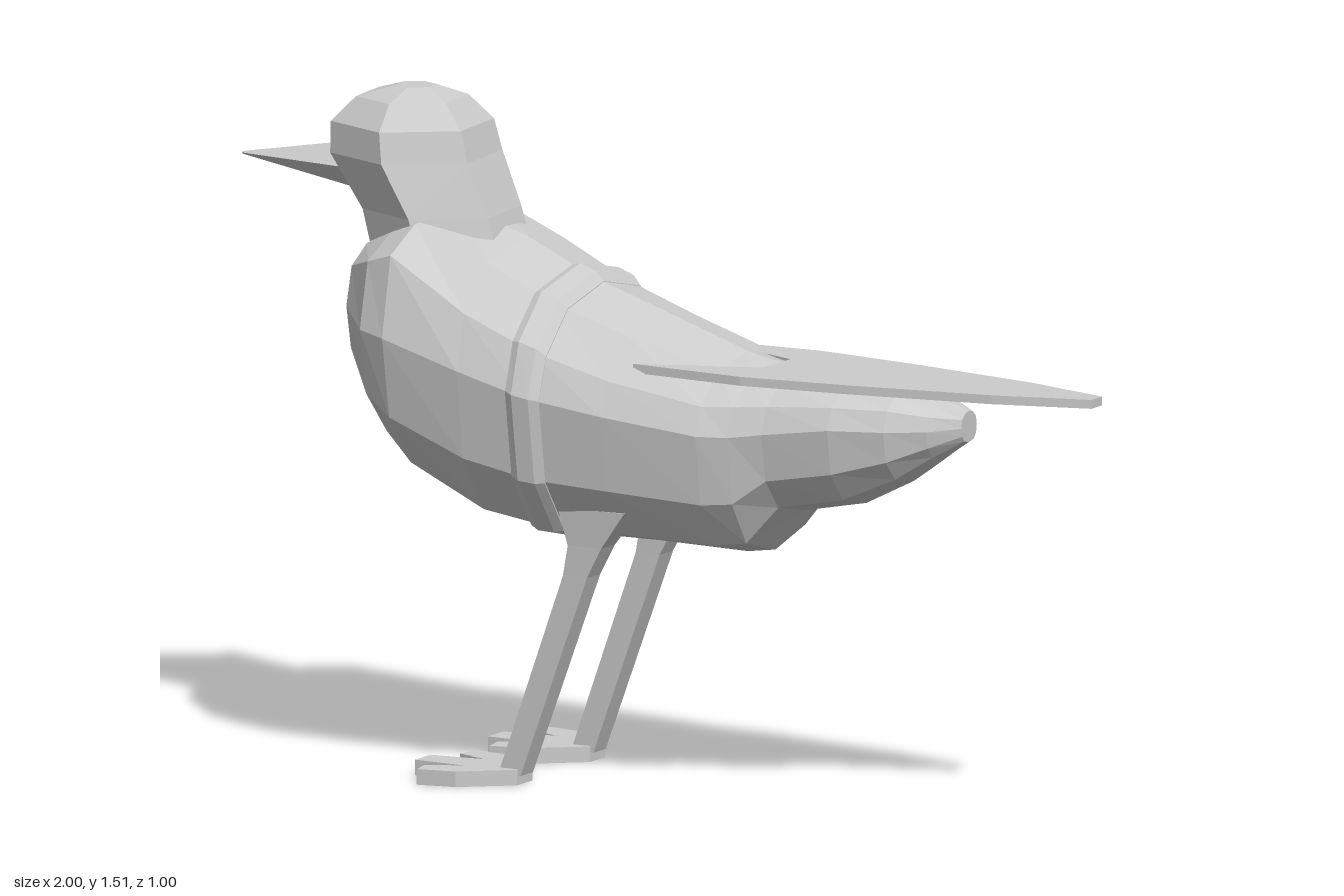
import * as THREE from 'three';

const material = new THREE.MeshStandardMaterial({ color: 0xcccccc, flatShading: true, side: THREE.DoubleSide });

function addMesh(parent, name, geometry) {
  const mesh = new THREE.Mesh(geometry, material);
  mesh.name = name;
  parent.add(mesh);
  return mesh;
}

// Skin closed rings of points into a capped, faceted solid.
function loft(rings) {
  const n = rings[0].length, pos = [];
  const tri = (...pts) => pts.forEach((p) => pos.push(p.x, p.y, p.z));
  const centre = (ring) => ring.reduce((s, p) => s.add(p), new THREE.Vector3()).divideScalar(n);
  const first = rings[0], last = rings[rings.length - 1];
  const c0 = centre(first), c1 = centre(last);
  for (let j = 0; j < n; j++) {
    const k = (j + 1) % n;
    for (let i = 0; i < rings.length - 1; i++) {
      const a = rings[i], b = rings[i + 1];
      tri(a[j], b[j], a[k]);
      tri(b[j], b[k], a[k]);
    }
    tri(c0, first[j], first[k]);
    tri(c1, last[k], last[j]);
  }
  const g = new THREE.BufferGeometry();
  g.setAttribute('position', new THREE.Float32BufferAttribute(pos, 3));
  g.computeVertexNormals();
  return g;
}

const soften = (v, p) => Math.sign(v) * Math.abs(v) ** p;

// Upright ring across the body: x, bottom, top, half width, height of widest
// point, and how the upper half curves (below 1 square, above 1 peaked).
function bodyRing([x, bottom, top, w, mid, upper], n = 12) {
  return Array.from({ length: n }, (_, j) => {
    const a = (j / n) * Math.PI * 2;
    const s = Math.sin(a), c = soften(Math.cos(a), s > 0 ? 0.85 : 0.72);
    const y = s > 0 ? mid + (top - mid) * soften(s, upper) : mid + (mid - bottom) * soften(s, 0.9);
    return new THREE.Vector3(x, y, w * c);
  });
}

// Level ring: height, centre x, half length, half width.
function levelRing([y, x, rx, rz], n, z, turn) {
  return Array.from({ length: n }, (_, j) => {
    const a = (j / n) * Math.PI * 2 + turn;
    return new THREE.Vector3(x + rx * Math.cos(a), y, z + rz * Math.sin(a));
  });
}

// Flat plate from an outline of [x, z] points.
function plate(outline, thickness) {
  const shape = new THREE.Shape(outline.map(([x, z]) => new THREE.Vector2(x, -z)));
  return new THREE.ExtrudeGeometry(shape, { depth: thickness, bevelEnabled: false }).rotateX(-Math.PI / 2);
}

const mirrored = (half) => [...half, ...half.slice().reverse().filter(([, z]) => z !== 0).map(([x, z]) => [x, -z])];

export function createModel() {
  const model = new THREE.Group();
  const bird = new THREE.Group();
  bird.name = 'bird';
  bird.rotation.y = THREE.MathUtils.degToRad(25);
  bird.position.set(-0.019, 0, -0.041);
  model.add(bird);

  // Body, square-shouldered chest to rump, with a step under the rump
  addMesh(bird, 'body', loft([
    [-0.75, 0.98, 1.13, 0.08, 1.06, 0.8],
    [-0.70, 0.86, 1.18, 0.21, 1.04, 0.7],
    [-0.61, 0.73, 1.22, 0.31, 1.01, 0.5],
    [-0.54, 0.66, 1.25, 0.335, 1.00, 0.47],
    [-0.36, 0.565, 1.195, 0.32, 0.94, 1.05],
    [-0.20, 0.54, 1.12, 0.30, 0.89, 1.2],
    [-0.02, 0.54, 1.06, 0.275, 0.86, 1.4],
    [0.20, 0.535, 0.985, 0.24, 0.83, 1.3],
    [0.27, 0.545, 0.97, 0.22, 0.83, 1.1],
    [0.345, 0.64, 0.96, 0.20, 0.84, 1],
    [0.50, 0.67, 0.95, 0.18, 0.86, 0.9],
    [0.62, 0.73, 0.945, 0.14, 0.86, 0.9],
    [0.70, 0.79, 0.92, 0.09, 0.86, 0.9],
    [0.76, 0.83, 0.90, 0.035, 0.865, 0.9],
  ].map((r) => bodyRing(r))));

  // Slightly raised band around the body
  addMesh(bird, 'bodyBand', loft([
    [-0.245, 0.54, 1.14, 0.306, 0.904, 1.15],
    [-0.225, 0.53, 1.145, 0.315, 0.898, 1.12],
    [-0.185, 0.528, 1.13, 0.31, 0.89, 1.14],
    [-0.165, 0.535, 1.11, 0.297, 0.885, 1.22],
  ].map((r) => bodyRing(r))));

  // Six-sided head and neck, leaning forward
  addMesh(bird, 'head', loft([
    [1.08, -0.53, 0.18, 0.18],
    [1.24, -0.575, 0.175, 0.18],
    [1.36, -0.64, 0.192, 0.19],
    [1.43, -0.65, 0.182, 0.18],
    [1.485, -0.65, 0.125, 0.125],
    [1.51, -0.64, 0.045, 0.045],
  ].map((r) => levelRing(r, 6, 0, THREE.MathUtils.degToRad(25)))));

  // Pointed beak
  addMesh(bird, 'beak', loft([
    bodyRing([-1.08, 1.315, 1.321, 0.003, 1.318, 1], 4),
    bodyRing([-0.74, 1.255, 1.38, 0.07, 1.32, 1], 4),
  ]));

  // Flat tail with two wing tips reaching forward
  const tail = addMesh(bird, 'tail', plate(mirrored([
    [0.29, 0], [0.29, 0.06], [0.02, 0.17], [0.3, 0.185], [0.56, 0.15], [0.885, 0.09], [1.1, 0.024],
  ]), 0.02));
  tail.position.set(0, 0.952, 0.03);
  tail.rotation.z = -0.008;

  // Legs and three-toed feet
  const footOutline = mirrored([
    [0.018, 0.035], [-0.09, 0.12], [-0.18, 0.135], [-0.19, 0.08], [-0.11, 0.045],
    [-0.24, 0.035],
  ]);
  for (const side of [1, -1]) {
    const z = side * 0.165 + 0.008;
    const prefix = side > 0 ? 'left' : 'right';
    addMesh(bird, prefix + 'Leg', loft([
      [0.02, -0.292, 0.04, 0.04],
      [0.48, -0.125, 0.043, 0.043],
      [0.55, -0.1, 0.06, 0.045],
      [0.635, -0.08, 0.12, 0.055],
    ].map((r) => levelRing(r, 4, z, Math.PI / 4))));
    const foot = addMesh(bird, prefix + 'Foot', plate(footOutline, 0.035));
    foot.position.set(-0.287, 0, z);
  }
  return model;
}
